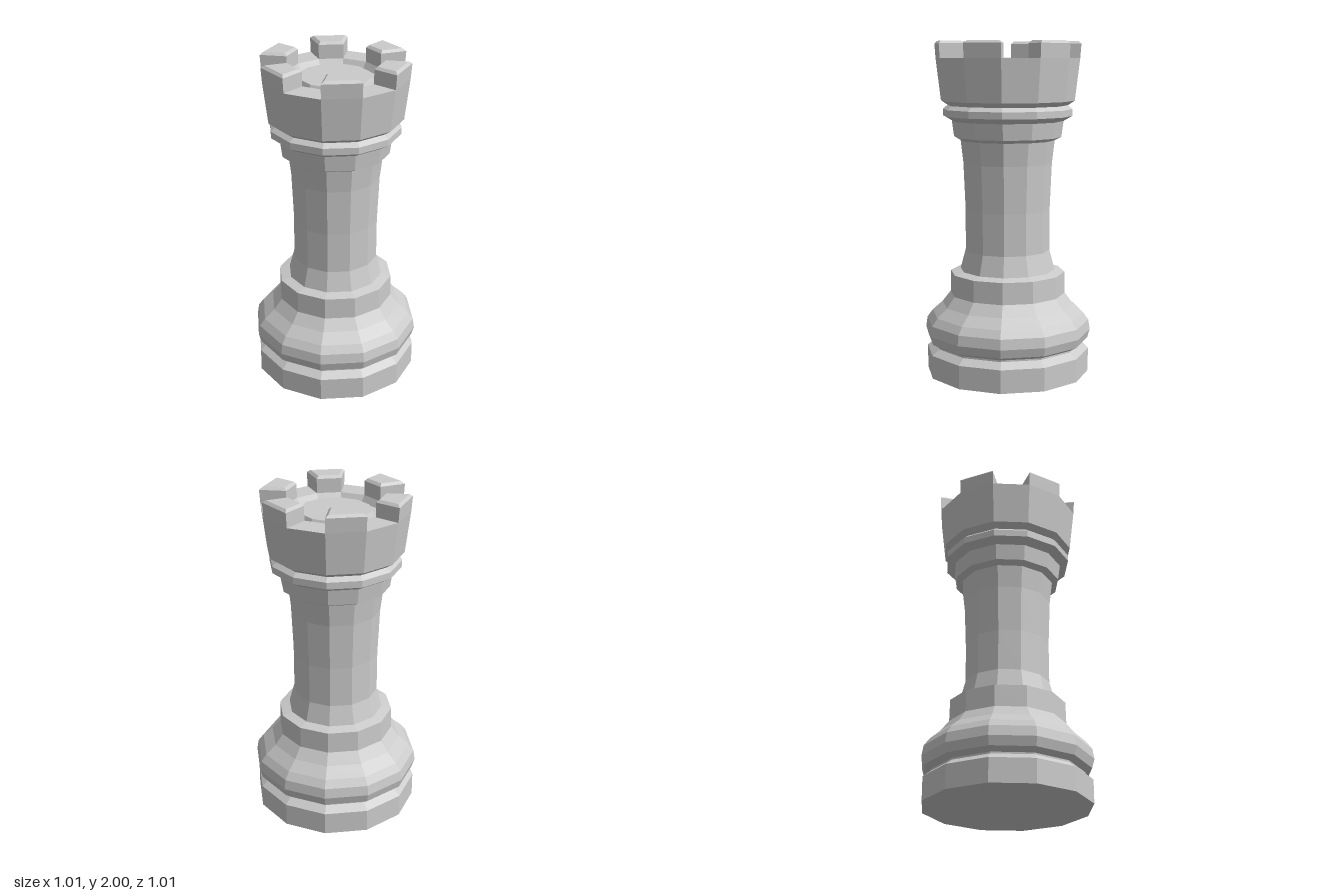
import * as THREE from 'three';

const SIDES = 12;
const material = new THREE.MeshStandardMaterial({ color: 0xcccccc, flatShading: true });

function facetedMesh(name, geometry) {
  const flat = geometry.index ? geometry.toNonIndexed() : geometry;
  flat.computeVertexNormals();
  const mesh = new THREE.Mesh(flat, material);
  mesh.name = name;
  return mesh;
}

// Twelve-sided turned part from [radius, height] pairs, listed bottom to top
function turned(name, profile) {
  const points = profile.map(([r, y]) => new THREE.Vector2(r, y));
  return facetedMesh(name, new THREE.LatheGeometry(points, SIDES));
}

// One facet-wide block of the battlement with a chamfered top, centred on +z
function merlonGeometry() {
  const half = Math.PI / SIDES;
  const loop = (y, outerR, innerR, inset) => {
    const zo = outerR * Math.cos(half) - inset;
    const zi = innerR * Math.cos(half) + inset;
    const width = z => z * Math.tan(half) - inset / Math.cos(half);
    const wo = width(zo), wi = width(zi);
    return [[wo, y, zo], [wi, y, zi], [-wi, y, zi], [-wo, y, zo]];
  };
  const loops = [
    loop(1.9, 0.43, 0.28, 0),
    loop(1.985, 0.436, 0.28, 0),
    loop(2, 0.436, 0.28, 0.015),
  ];
  const index = [];
  for (let k = 0; k < loops.length - 1; k++) {
    for (let i = 0; i < 4; i++) {
      const a = k * 4 + i, b = k * 4 + (i + 1) % 4;
      index.push(a, b, b + 4, a, b + 4, a + 4);
    }
  }
  index.push(8, 9, 10, 8, 10, 11);
  const geometry = new THREE.BufferGeometry();
  geometry.setAttribute('position', new THREE.Float32BufferAttribute(loops.flat(2), 3));
  geometry.setIndex(index);
  return geometry;
}

export function createModel() {
  const model = new THREE.Group();
  model.name = 'rook';

  // Plinth with its closed underside and the groove above it
  model.add(turned('plinth', [[0, 0], [0.495, 0], [0.495, 0.14], [0.45, 0.175], [0.45, 0.185]]));

  // Swelling foot narrowing to a straight collar
  model.add(turned('foot', [
    [0.45, 0.185], [0.49, 0.207], [0.505, 0.26], [0.495, 0.32], [0.462, 0.365],
    [0.4, 0.42], [0.35, 0.485], [0.347, 0.615], [0.287, 0.63],
  ]));

  // Gently waisted shaft
  model.add(turned('shaft', [
    [0.287, 0.63], [0.255, 0.75], [0.255, 1.0], [0.267, 1.28], [0.283, 1.415],
  ]));

  // Stepped neck ring
  model.add(turned('neckRing', [
    [0.283, 1.415], [0.322, 1.435], [0.335, 1.53], [0.387, 1.56], [0.387, 1.6], [0.36, 1.623],
  ]));

  // Flared crown, its rim, the sunken channel and the raised central disc
  model.add(turned('crown', [
    [0.36, 1.623], [0.4, 1.65], [0.43, 1.9], [0.28, 1.9], [0.255, 1.862],
    [0.225, 1.862], [0.21, 1.89], [0, 1.89],
  ]));

  // Six merlons on alternate facets
  const battlement = new THREE.Group();
  battlement.name = 'battlement';
  const geometry = merlonGeometry();
  for (let i = 0; i < 6; i++) {
    const merlon = facetedMesh('merlon', geometry);
    merlon.rotation.y = Math.PI / 4 + i * Math.PI / 3;
    battlement.add(merlon);
  }
  model.add(battlement);

  return model;
}
